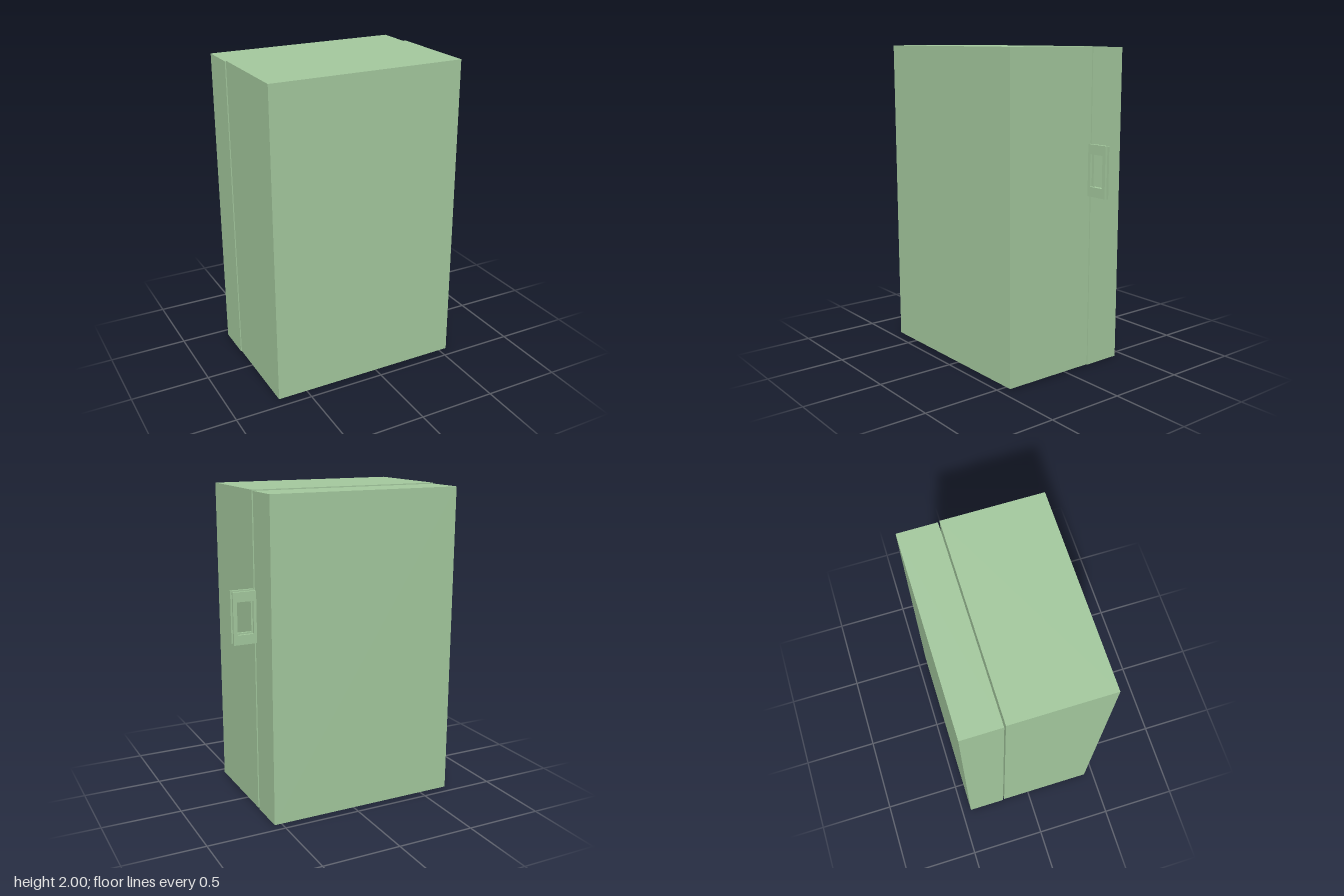
import * as THREE from 'three';

const material = new THREE.MeshStandardMaterial({ color: 0xa4c99e });

// Box given by its lower and upper limits on each axis
function block(name, [x0, x1], [y0, y1], [z0, z1]) {
  const mesh = new THREE.Mesh(new THREE.BoxGeometry(x1 - x0, y1 - y0, z1 - z0), material);
  mesh.position.set((x0 + x1) / 2, (y0 + y1) / 2, (z0 + z1) / 2);
  mesh.name = name;
  return mesh;
}

function rectangle(path, x0, x1, y0, y1) {
  path.moveTo(x0, y0);
  path.lineTo(x1, y0);
  path.lineTo(x1, y1);
  path.lineTo(x0, y1);
  path.closePath();
  return path;
}

// Flat handle plate with a rectangular grip opening
function handle(name, x, y, z) {
  const shape = rectangle(new THREE.Shape(), 0, 0.148, 0, 0.32);
  shape.holes.push(rectangle(new THREE.Path(), 0.02, 0.123, 0.06, 0.26));
  const geometry = new THREE.ExtrudeGeometry(shape, { depth: 0.015, bevelEnabled: false });
  const mesh = new THREE.Mesh(geometry, material);
  mesh.position.set(x, y, z);
  mesh.name = name;
  return mesh;
}

export function createModel() {
  const model = new THREE.Group();
  model.name = 'case';

  // Deep front half and shallow back half, separated by a thin gap
  model.add(block('frontHalf', [-0.694, 0.549], [0.006, 2], [-0.183, 0.438]));
  model.add(block('backHalf', [-0.697, 0.546], [0, 1.994], [-0.438, -0.193]));

  // One handle on each half, on the left side
  model.add(handle('frontHandle', 0.548, 1.1, -0.179));
  model.add(handle('backHandle', 0.545, 1.095, -0.213));

  return model;
}
